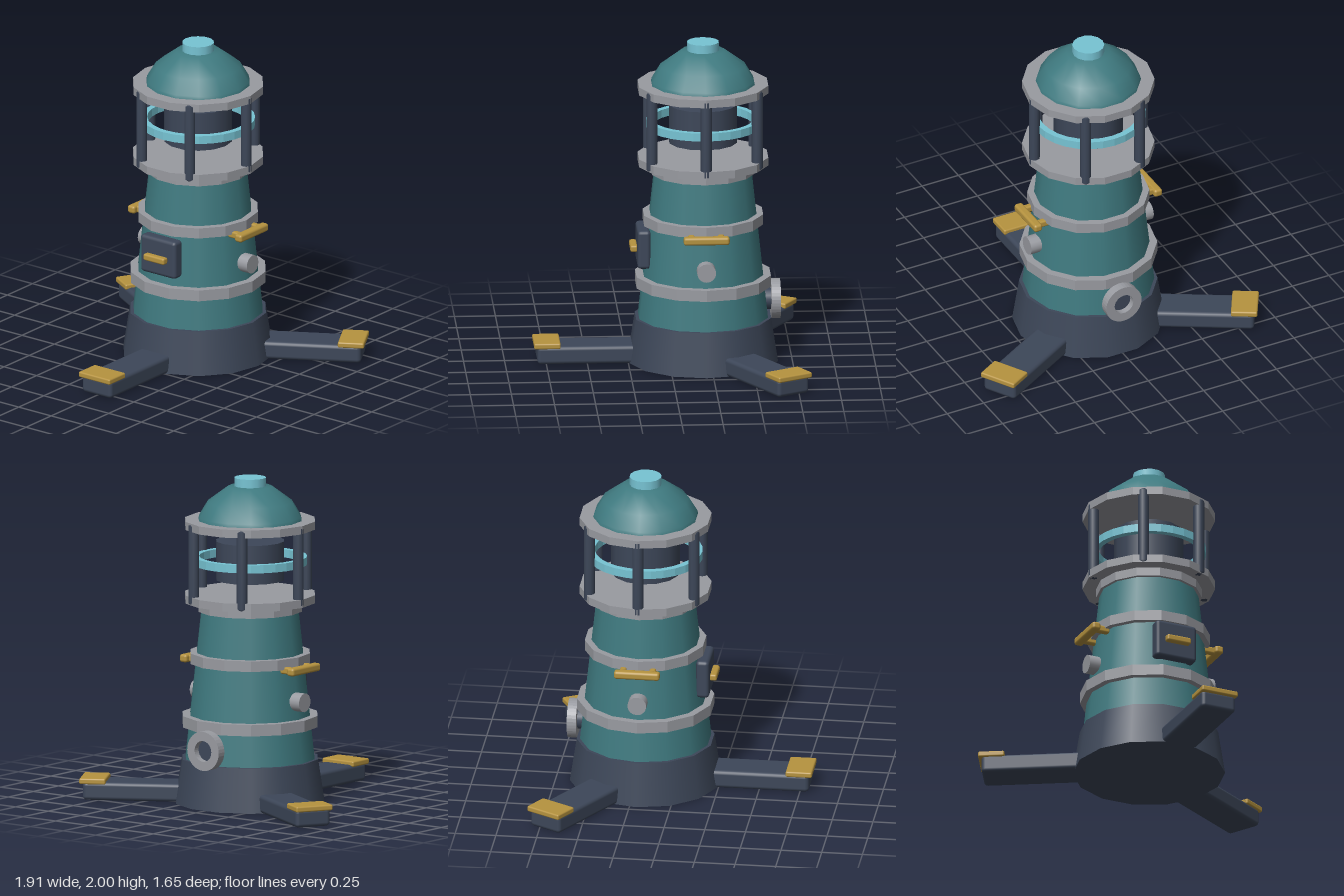
import * as THREE from 'three';
import { RoundedBoxGeometry } from 'three/addons/geometries/RoundedBoxGeometry.js';

const SIDES = 14;
const mat = (name, color) => {
  const m = new THREE.MeshStandardMaterial({ color });
  m.name = name;
  return m;
};

export function createModel() {
  const teal = mat('teal', 0x3f7a80);
  const dark = mat('slate', 0x3d4759);
  const grey = mat('grey', 0x999ba1);
  const gold = mat('gold', 0xb6933f);
  const cyan = mat('cyan', 0x77c4d4);

  const model = new THREE.Group();
  model.name = 'beaconTower';
  // everything is placed around the tower axis
  const tower = new THREE.Group();
  tower.name = 'tower';
  tower.position.z = -0.21;
  model.add(tower);

  const add = (name, geo, material, x = 0, y = 0, z = 0, parent = tower) => {
    const mesh = new THREE.Mesh(geo, material);
    mesh.name = name;
    mesh.position.set(x, y, z);
    parent.add(mesh);
    return mesh;
  };
  // tapered drum between two heights, with corners on the x axis
  const drum = (name, rBottom, rTop, y0, y1, material, flat = false) => {
    let geo = new THREE.CylinderGeometry(rTop, rBottom, y1 - y0, SIDES);
    geo.rotateY(Math.PI / 2);
    if (flat) {
      geo = geo.toNonIndexed();
      geo.computeVertexNormals();
    }
    return add(name, geo, material, 0, (y0 + y1) / 2);
  };
  const lathe = (points, segments) =>
    new THREE.LatheGeometry(points.map(p => new THREE.Vector2(...p)), segments);
  const box = (w, h, d, r) => new RoundedBoxGeometry(w, h, d, 2, r);

  // body and its bands
  drum('base', 0.464, 0.422, 0, 0.272, dark);
  drum('body', 0.402, 0.302, 0.27, 1.19, teal);
  drum('lowerBand', 0.42, 0.42, 0.47, 0.54, grey, true);
  drum('middleBand', 0.372, 0.372, 0.86, 0.925, grey, true);
  drum('collar', 0.322, 0.322, 1.18, 1.24, grey, true);
  drum('gallery', 0.404, 0.404, 1.235, 1.285, grey, true);
  drum('roofPlate', 0.404, 0.404, 1.69, 1.74, grey, true);

  // roof dome and its cap
  const dome = lathe([[0.322, 1.735], [0.316, 1.76], [0.262, 1.85], [0.135, 1.945], [0, 1.955]], SIDES);
  dome.rotateY(Math.PI / 2);
  add('dome', dome, teal);
  drum('roofCap', 0.098, 0.098, 1.94, 2, cyan);

  // lamp with a hollow light band
  drum('lamp', 0.211, 0.211, 1.37, 1.61, dark);
  const band = lathe([[0.31, 1.465], [0.348, 1.465], [0.348, 1.515], [0.31, 1.515], [0.31, 1.465]], 28)
    .toNonIndexed();
  band.computeVertexNormals();
  add('lightBand', band, cyan);

  // six lantern posts with chamfered ends
  const postGeo = lathe([[0, -0.25], [0.022, -0.25], [0.034, -0.236], [0.034, 0.236], [0.022, 0.25], [0, 0.25]], 10);
  for (let i = 0; i < 6; i++) {
    const a = i * Math.PI / 3;
    add('lanternPost', postGeo, dark, 0.371 * Math.cos(a), 1.485, 0.371 * Math.sin(a));
  }

  // three legs with foot pads
  for (let i = 0; i < 3; i++) {
    const leg = new THREE.Group();
    leg.name = 'leg';
    leg.rotation.y = i * Math.PI * 2 / 3;
    tower.add(leg);
    add('legBeam', box(0.226, 0.112, 0.7, 0.024), dark, 0, 0.056, 0.665, leg);
    add('footPad', box(0.24, 0.036, 0.162, 0.01), gold, 0, 0.117, 0.954, leg);
  }

  // front hatch
  add('hatch', box(0.27, 0.24, 0.08, 0.022), dark, 0, 0.72, 0.365);
  add('hatchHandle', box(0.16, 0.042, 0.045, 0.012), gold, 0, 0.715, 0.424);

  // side rails and studs
  for (const s of [-1, 1]) {
    add('sideRail', box(0.055, 0.05, 0.28, 0.016), gold, s * 0.412, 0.855, 0);
    for (const z of [-0.09, 0.09]) {
      add('railMount', box(0.09, 0.044, 0.04, 0.012), gold, s * 0.355, 0.855, z);
    }
    const stud = new THREE.CylinderGeometry(0.058, 0.058, 0.1, 16);
    stud.rotateZ(Math.PI / 2);
    add('sideStud', stud, grey, s * 0.37, 0.65, 0);
  }

  // rear port: dark pipe and a thick open ring
  const pipe = new THREE.CylinderGeometry(0.066, 0.066, 0.11, 18);
  pipe.rotateX(Math.PI / 2);
  add('portPipe', pipe, dark, 0, 0.37, -0.375);
  const ringShape = new THREE.Shape().absarc(0, 0, 0.121, 0, Math.PI * 2);
  ringShape.holes.push(new THREE.Path().absarc(0, 0, 0.064, 0, Math.PI * 2, true));
  const ring = new THREE.ExtrudeGeometry(ringShape, { depth: 0.057, bevelEnabled: false, curveSegments: 18 });
  add('portRing', ring, grey, 0, 0.37, -0.47);

  return model;
}
